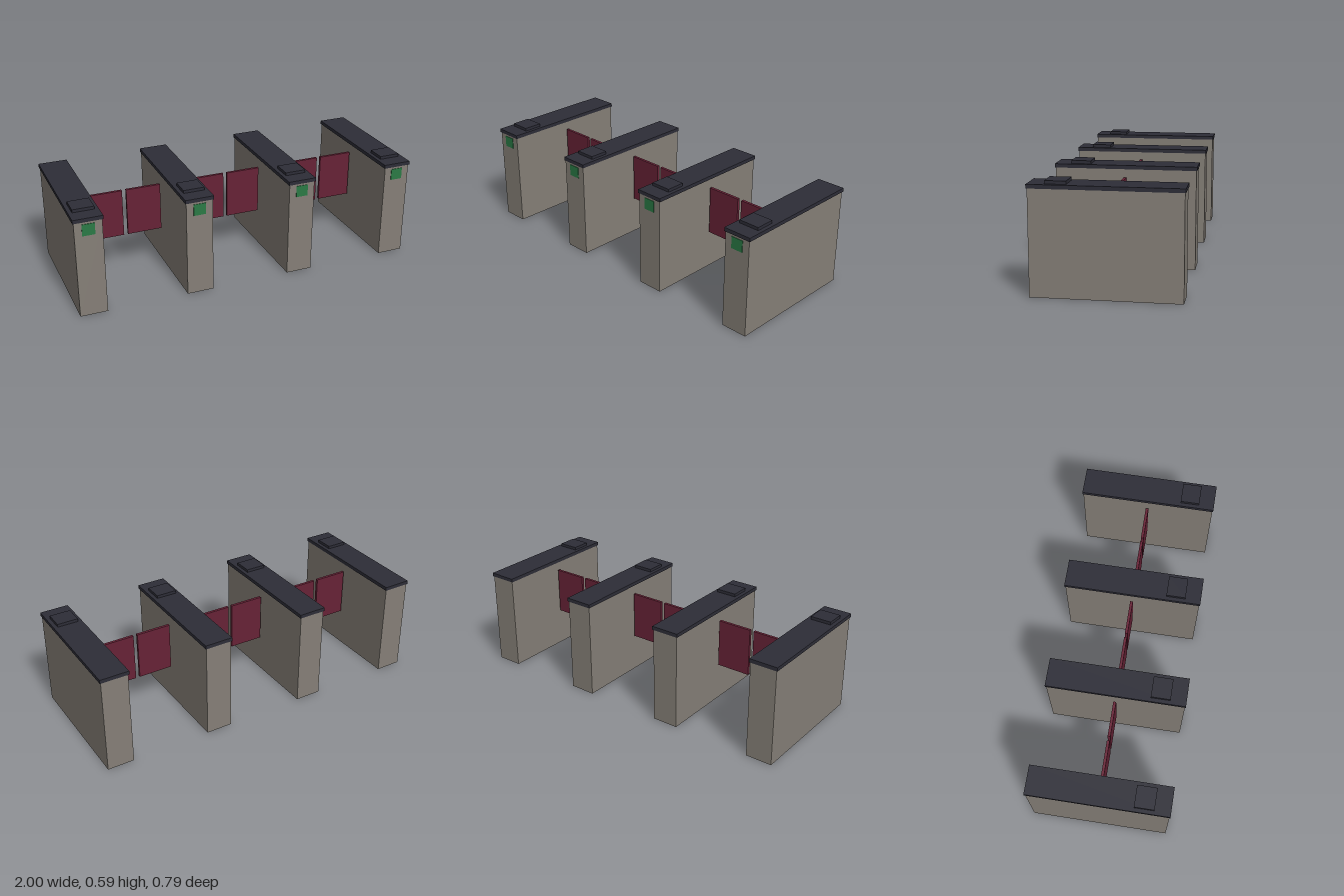
import * as THREE from 'three';

function material(name, color) {
  const m = new THREE.MeshStandardMaterial({ color });
  m.name = name;
  return m;
}

export function createModel() {
  const stone = material('warm grey', 0x857f77);
  const dark = material('dark slate', 0x2d2d37);
  const maroon = material('maroon', 0x672236);
  const green = material('signal green', 0x2a7a45);

  const model = new THREE.Group();
  model.name = 'turnstileGates';

  // Box placed by its centre in x and z and by its bottom in y
  function box(parent, name, mat, [w, h, d], [x, bottom, z]) {
    const mesh = new THREE.Mesh(new THREE.BoxGeometry(w, h, d), mat);
    mesh.name = name;
    mesh.position.set(x, bottom + h / 2, z);
    parent.add(mesh);
  }

  const spacing = 0.612;

  // Four cabinets, each with a lid, a card reader and a front indicator
  for (let i = 0; i < 4; i++) {
    const cabinet = new THREE.Group();
    cabinet.name = 'cabinet';
    cabinet.position.x = (i - 1.5) * spacing;
    box(cabinet, 'body', stone, [0.153, 0.556, 0.778], [0, 0, 0]);
    box(cabinet, 'lid', dark, [0.164, 0.021, 0.787], [0, 0.556, 0]);
    box(cabinet, 'cardReader', dark, [0.12, 0.017, 0.11], [0, 0.577, 0.25]);
    box(cabinet, 'indicator', green, [0.07, 0.066, 0.004], [0, 0.477, 0.39]);
    model.add(cabinet);
  }

  // A pair of barrier panels in each of the three lanes
  for (let i = -1; i <= 1; i++) {
    const gate = new THREE.Group();
    gate.name = 'gate';
    gate.position.x = i * spacing;
    for (const side of [-1, 1]) {
      box(gate, 'barrierPanel', maroon, [0.2, 0.277, 0.016], [side * 0.112, 0.235, 0]);
    }
    model.add(gate);
  }

  return model;
}
